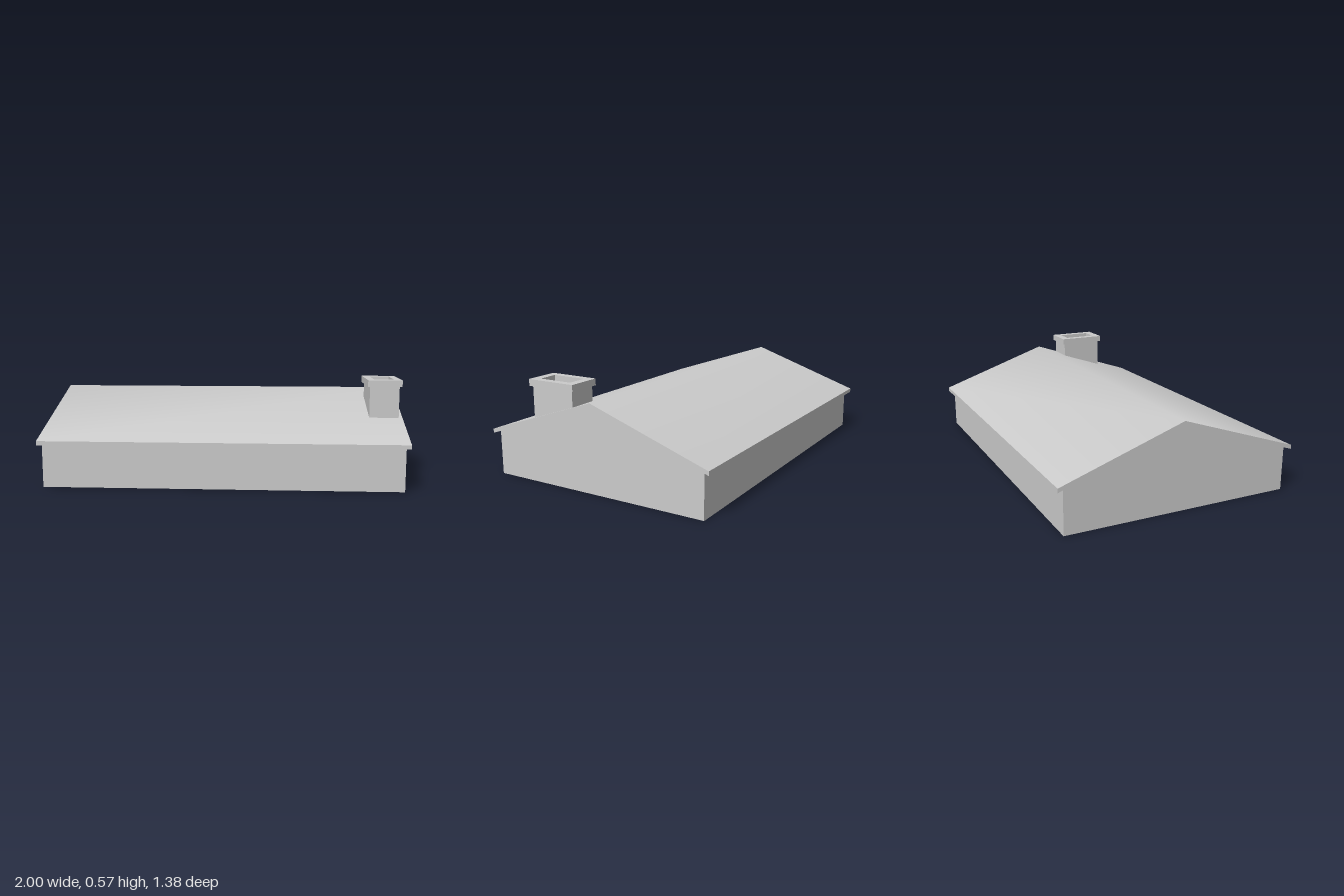
import * as THREE from 'three';
import { toCreasedNormals } from 'three/addons/utils/BufferGeometryUtils.js';

const material = new THREE.MeshStandardMaterial({ color: 0xcccccc });

function addMesh(parent, name, geometry) {
  const mesh = new THREE.Mesh(geometry, material);
  mesh.name = name;
  parent.add(mesh);
  return mesh;
}

// Extrudes a gable profile of [z, y] points along x, centred on x = 0
function gablePrism(points, length) {
  const shape = new THREE.Shape(points.map(([z, y]) => new THREE.Vector2(z, y)));
  const geometry = new THREE.ExtrudeGeometry(shape, { depth: length, bevelEnabled: false });
  return geometry.translate(0, 0, -length / 2).rotateY(Math.PI / 2);
}

// Upright rectangular tube, open at both ends of its flue
function flueBlock(width, depth, holeWidth, holeDepth, height) {
  const corners = (w, d) => [[-w, -d], [w, -d], [w, d], [-w, d]]
    .map(([x, y]) => new THREE.Vector2(x / 2, y / 2));
  const shape = new THREE.Shape(corners(width, depth));
  shape.holes.push(new THREE.Path(corners(holeWidth, holeDepth).reverse()));
  return new THREE.ExtrudeGeometry(shape, { depth: height, bevelEnabled: false })
    .rotateX(-Math.PI / 2);
}

export function createModel() {
  const house = new THREE.Group();
  house.name = 'house';

  // Walls with gable ends
  addMesh(house, 'walls', gablePrism(
    [[-0.655, 0], [0.655, 0], [0.655, 0.249], [0, 0.467], [-0.655, 0.249]], 1.96));

  // Thin roof with overhanging eaves, shaded smoothly over the ridge
  const roof = gablePrism(
    [[-0.69, 0.238], [0, 0.467], [0.69, 0.238], [0.69, 0.261], [0, 0.495], [-0.69, 0.261]], 2);
  addMesh(house, 'roof', toCreasedNormals(roof, 0.8));

  // Chimney on the front slope near the left gable
  const chimney = new THREE.Group();
  chimney.name = 'chimney';
  chimney.position.set(0.897, 0, 0.261);
  house.add(chimney);

  const flueWidth = 0.11, flueDepth = 0.2;
  addMesh(chimney, 'chimneyShaft', flueBlock(0.164, 0.265, flueWidth, flueDepth, 0.192))
    .position.y = 0.345;
  addMesh(chimney, 'chimneyCap', flueBlock(0.19, 0.294, flueWidth, flueDepth, 0.037))
    .position.y = 0.537;
  addMesh(chimney, 'flueFloor', new THREE.BoxGeometry(flueWidth, 0.08, flueDepth))
    .position.y = 0.42;

  return house;
}
